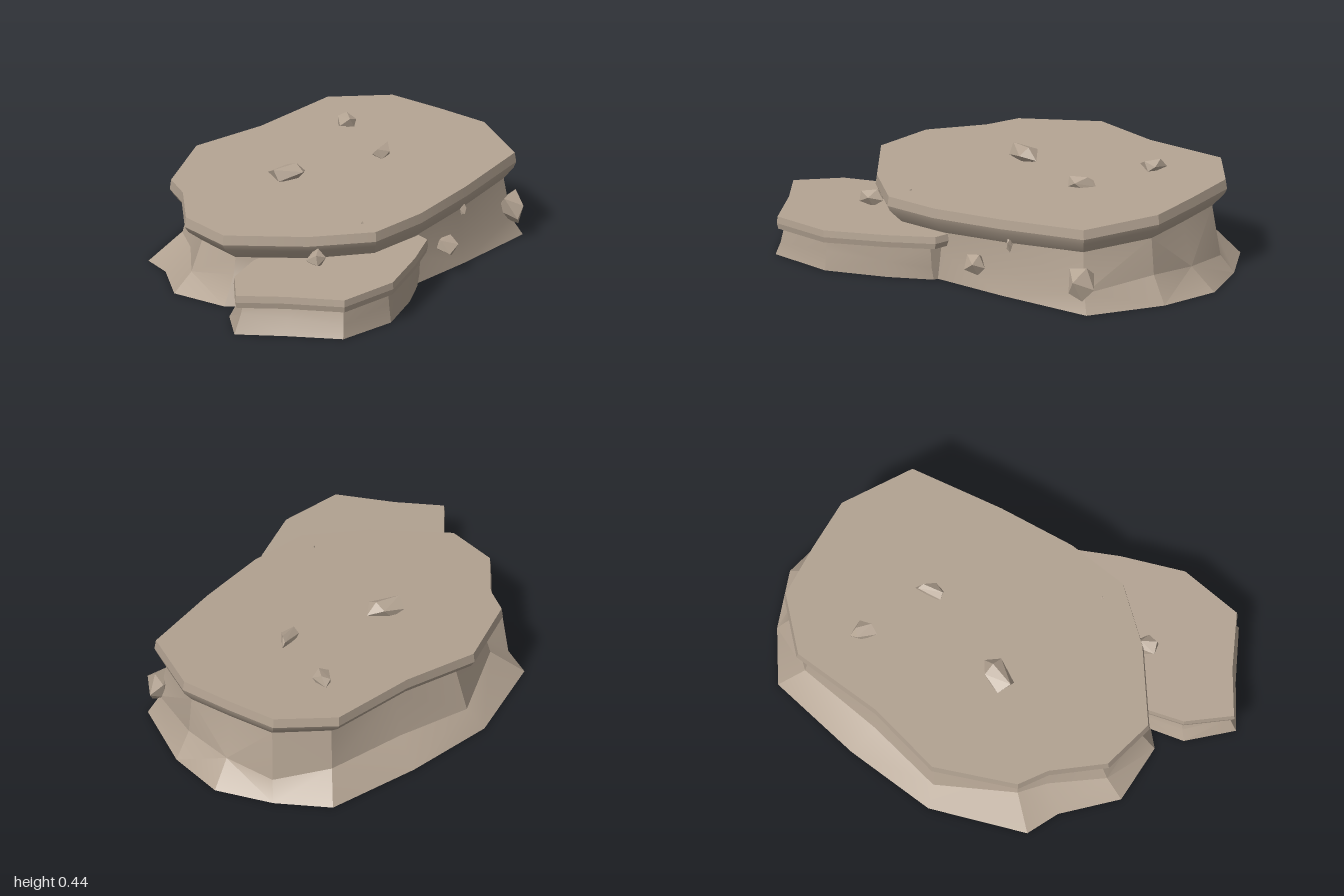
import * as THREE from 'three';
import { toCreasedNormals } from 'three/addons/utils/BufferGeometryUtils.js';
import { ConvexGeometry } from 'three/addons/geometries/ConvexGeometry.js';

const stone = new THREE.MeshStandardMaterial({ color: 0xb3a392, side: THREE.DoubleSide });
stone.name = 'stone';

// Small seeded random generator
function seeded(seed) {
  return () => {
    seed = (seed * 16807) % 2147483647;
    return seed / 2147483647;
  };
}

// Joins closed rings of [x, y, z] points from bottom to top; a cap point closes the top
function loft(rings, cap) {
  const n = rings[0].length;
  const index = [];
  for (let r = 0; r < rings.length - 1; r++) {
    for (let i = 0; i < n; i++) {
      const a = r * n + i, b = r * n + (i + 1) % n;
      // alternate the diagonals for a chipped look
      if ((i + r) % 2) index.push(a, a + n, b + n, a, b + n, b);
      else index.push(a, a + n, b, b, a + n, b + n);
    }
  }
  const points = rings.flat();
  if (cap) {
    const top = (rings.length - 1) * n;
    for (let i = 0; i < n; i++) index.push(points.length, top + (i + 1) % n, top + i);
    points.push(cap);
  }
  const geometry = new THREE.BufferGeometry();
  geometry.setAttribute('position', new THREE.Float32BufferAttribute(points.flat(), 3));
  geometry.setIndex(index);
  return toCreasedNormals(geometry, 0.4);
}

// A hollow rock: flared foot, waist, neck, and an overhanging tilted slab
function makeRock(name, { slab, foot, height, thick, neckDrop, neck, waist, centre }) {
  const group = new THREE.Group();
  group.name = name;
  const neckRing = slab.map(([x, z]) => {
    const [nx, nz] = neck(x, z);
    return [nx, height(x, z) - neckDrop, nz];
  });
  const footRing = foot.map(([x, z]) => [x, 0, z]);
  const waistRing = footRing.map((f, i) => {
    const t = neckRing[i], k = 0.72 + (i % 3 - 1) * 0.1;
    return [f[0] + (t[0] - f[0]) * k, waist * (1 + (i % 3 - 1) * 0.2), f[2] + (t[2] - f[2]) * k];
  });
  const rimLow = slab.map(([x, z]) => {
    const [cx, cz] = centre;
    return [cx + (x - cx) * 1.008, height(x, z) - thick, cz + (z - cz) * 1.008];
  });
  const rimTop = slab.map(([x, z]) => [x, height(x, z), z]);
  const underside = neckRing.map(([x, y, z], i) => [
    x + (rimLow[i][0] - x) * 0.8, rimLow[i][1] - 0.025, z + (rimLow[i][2] - z) * 0.8]);

  const body = new THREE.Mesh(loft([footRing, waistRing, neckRing, underside, rimLow]), stone);
  body.name = name + 'Body';
  const top = new THREE.Mesh(
    loft([rimLow, rimTop], [centre[0], height(...centre), centre[1]]), stone);
  top.name = name + 'Slab';
  group.add(body, top);
  return group;
}

// Chipped pebble: convex hull of jittered points stretched to the half sizes
function makePebble(name, [x, y, z], [sx, sy, sz], seed, turn = 0) {
  const random = seeded(seed);
  const points = [];
  for (let i = 0; i < 9; i++) {
    const up = 1 - 2 * (i + 0.5) / 9;
    const angle = i * 2.4 + random() * 0.8;
    const r = Math.sqrt(1 - up * up);
    points.push(new THREE.Vector3(Math.cos(angle) * r * sx, up * 1.1 * sy, Math.sin(angle) * r * sz));
  }
  const mesh = new THREE.Mesh(new ConvexGeometry(points), stone);
  mesh.name = name;
  mesh.position.set(x, y, z);
  mesh.rotation.y = turn;
  return mesh;
}

export function createModel() {
  const model = new THREE.Group();
  model.name = 'flatRocks';

  // Large rock
  model.add(makeRock('largeRock', {
    slab: [[-0.03, -0.66], [0.3, -0.56], [0.71, -0.51], [0.89, -0.3], [0.895, -0.06],
      [0.89, 0.18], [0.71, 0.47], [0.3, 0.51], [-0.04, 0.52], [-0.31, 0.48],
      [-0.52, 0.28], [-0.72, -0.02], [-0.66, -0.26], [-0.46, -0.42], [-0.38, -0.54]],
    foot: [[-0.04, -0.71], [0.37, -0.65], [0.79, -0.54], [0.92, -0.32], [1, -0.07],
      [0.93, 0.19], [0.74, 0.49], [0.3, 0.5], [-0.04, 0.49], [-0.31, 0.45],
      [-0.52, 0.26], [-0.74, 0], [-0.73, -0.27], [-0.53, -0.46], [-0.46, -0.6]],
    height: (x, z) => 0.352 + 0.06 * x - 0.047 * z,
    neck: (x, z) => [0.3 + (x - 0.3) * 0.93, 0.1 + (z - 0.1) * 0.9],
    thick: 0.042, neckDrop: 0.115, waist: 0.1, centre: [0.1, -0.05],
  }));

  // Small rock, tucked under the front corner of the large one
  model.add(makeRock('smallRock', {
    slab: [[-0.3, 0.1], [-0.08, 0.22], [0.02, 0.42], [-0.02, 0.54], [-0.22, 0.62],
      [-0.49, 0.7], [-0.77, 0.65], [-0.88, 0.42], [-0.99, 0.24], [-0.82, 0.11], [-0.63, 0.07]],
    foot: [[-0.3, 0.1], [-0.1, 0.22], [-0.02, 0.42], [-0.05, 0.51], [-0.23, 0.6],
      [-0.49, 0.69], [-0.78, 0.65], [-0.89, 0.43], [-1, 0.24], [-0.83, 0.09], [-0.63, 0.06]],
    height: (x, z) => 0.212 + 0.043 * x - 0.02 * (z - 0.3),
    neck: (x, z) => [-0.5 + (x + 0.5) * 0.93, 0.38 + (z - 0.38) * 0.93],
    thick: 0.03, neckDrop: 0.055, waist: 0.07, centre: [-0.5, 0.38],
  }));

  // Loose pebbles on the slabs and chips on the front wall
  const pebbles = [
    ['topPebbleLarge', [-0.07, 0.375, -0.16], [0.1, 0.038, 0.06], 11, -0.5],
    ['topPebbleBack', [0.525, 0.41, -0.28], [0.065, 0.032, 0.045], 23, 0.5],
    ['topPebbleFront', [0.37, 0.385, 0.03], [0.075, 0.034, 0.036], 37, 0.1],
    ['ledgePebble', [-0.52, 0.22, 0.32], [0.06, 0.036, 0.045], 41, 0.3],
    ['wallChipSmall', [0.165, 0.118, 0.51], [0.053, 0.046, 0.05], 53],
    ['wallChipLarge', [0.69, 0.13, 0.465], [0.072, 0.075, 0.063], 67],
    ['wallSliver', [0.325, 0.23, 0.475], [0.011, 0.036, 0.02], 71],
    ['topSliver', [-0.27, 0.315, 0.38], [0.007, 0.012, 0.007], 83],
  ];
  for (const p of pebbles) model.add(makePebble(...p));
  return model;
}
